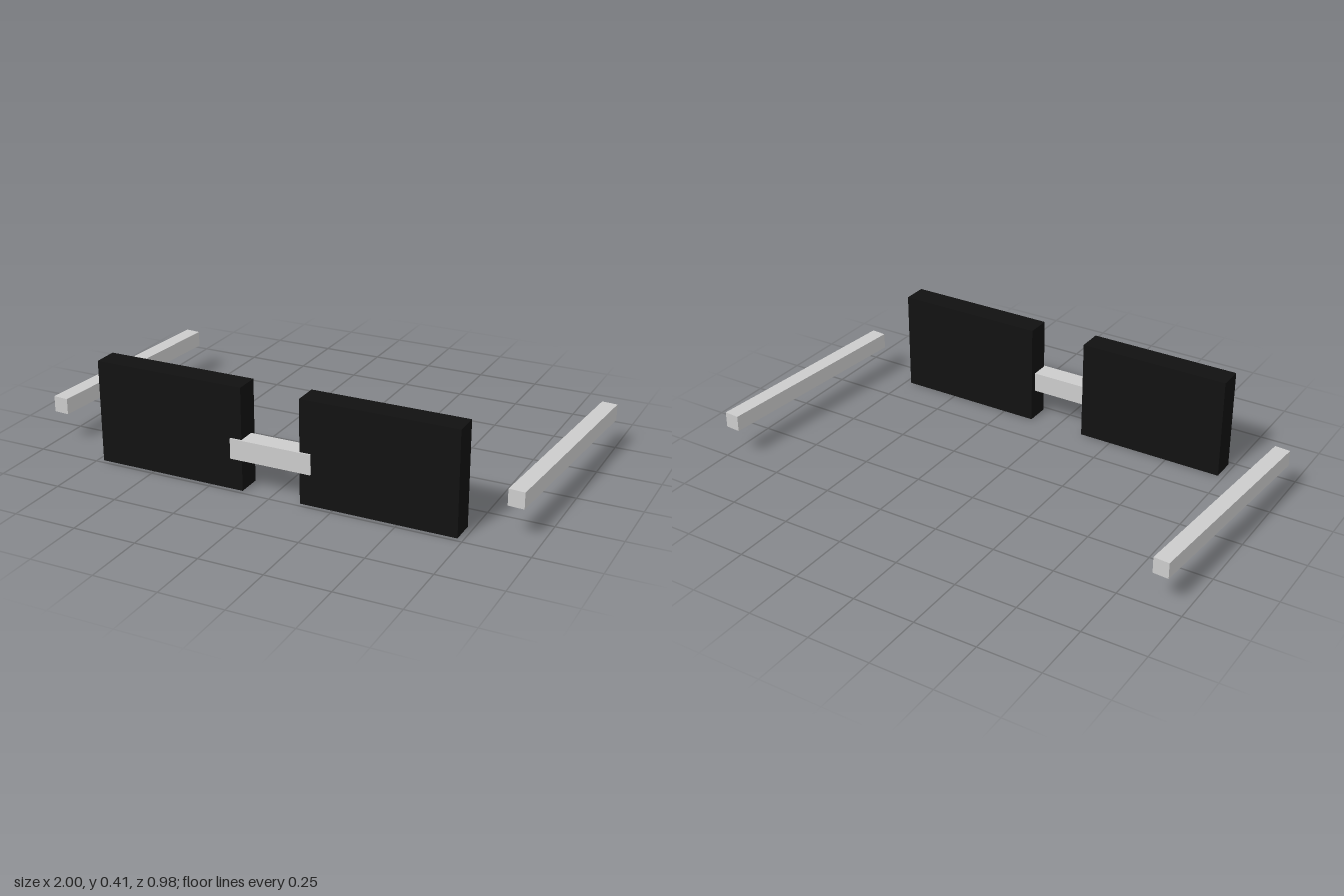
import * as THREE from 'three';

export function createModel() {
  const model = new THREE.Group();
  const frameMaterial = new THREE.MeshStandardMaterial({ color: 0xcccccc });
  const lensMaterial = new THREE.MeshStandardMaterial({ color: 0x111111 });

  function addBox(name, material, size, position, turn = 0) {
    const mesh = new THREE.Mesh(new THREE.BoxGeometry(...size), material);
    mesh.name = name;
    mesh.position.set(...position);
    mesh.rotation.y = turn;
    model.add(mesh);
  }

  // Bridge, standing slightly proud of the lenses
  addBox('bridge', frameMaterial, [0.326, 0.08, 0.08], [0, 0.164, 0.449]);

  for (const [side, s] of [['left', 1], ['right', -1]]) {
    // Thick dark lens
    addBox(side + 'Lens', lensMaterial, [0.609, 0.408, 0.098], [s * 0.4225, 0.204, 0.433]);
    // Detached temple arm; both arms turn the same way, so they stay parallel
    addBox(side + 'Temple', frameMaterial, [0.0625, 0.064, 0.895], [s * 0.9375, 0.156, -0.04], -0.07);
  }

  return model;
}
